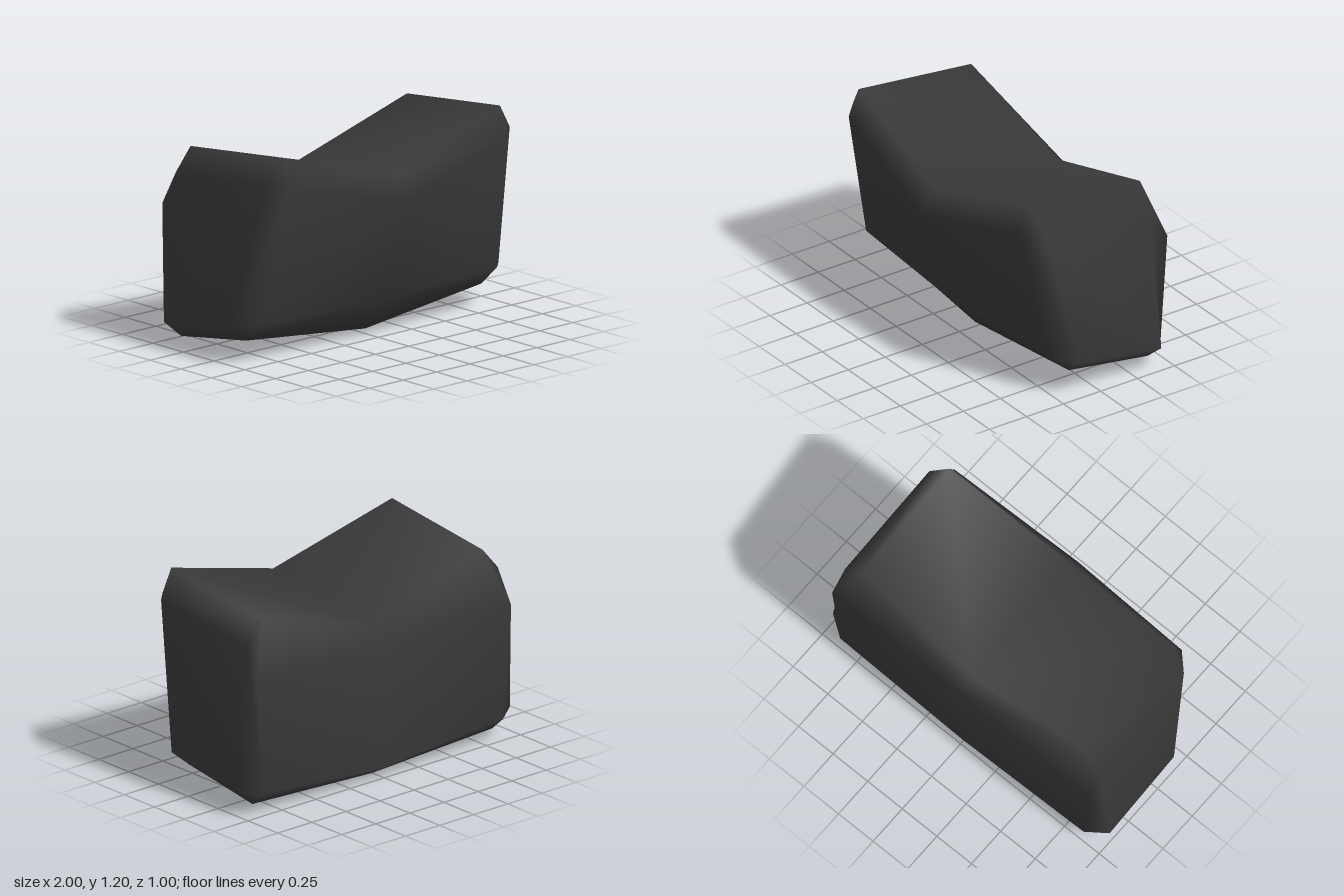
import * as THREE from 'three';

// Bevelled block with a V-shaped top, built from rings of points.
// Ring order: top front, front top, front bottom, bottom front,
// bottom back, back bottom, back top, top back.
const middleRing = [
  [0, 0.97, 0.43], [0, 0.825, 0.505], [0, 0.23, 0.315], [0, 0.03, 0.145],
  [0, 0, -0.40], [0, 0.055, -0.49], [0, 0.79, -0.50], [0, 0.885, -0.40],
];
const outerRing = [
  [0.81, 1.20, 0.36], [0.82, 1.04, 0.42], [0.88, 0.24, 0.26], [0.88, 0.12, 0.13],
  [0.88, 0.04, -0.40], [0.88, 0.12, -0.49], [0.93, 0.79, -0.50], [0.81, 1.115, -0.40],
];
// Corners of the end face
const endFace = [[0.92, 1.05, 0.32], [1.0, 0.22, 0.14], [1.0, 0.14, -0.41], [0.92, 0.985, -0.40]];

function blockGeometry() {
  const points = [...middleRing];
  const index = [];

  for (const side of [1, -1]) {
    const outer = points.length;
    const end = outer + 8;
    for (const [x, y, z] of [...outerRing, ...endFace]) points.push([side * x, y, z]);

    const tri = (a, b, c) => index.push(...(side > 0 ? [a, b, c] : [a, c, b]));
    const quad = (a, b, c, d, otherDiagonal = false) => {
      if (otherDiagonal) { tri(a, b, d); tri(b, c, d); }
      else { tri(a, b, c); tri(a, c, d); }
    };

    // Strip from the middle to the outer ring
    for (let i = 0; i < 8; i++) {
      const j = (i + 1) % 8;
      quad(i, j, outer + j, outer + i);
    }
    // Corner triangles and the bevels around the end face
    for (let k = 0; k < 4; k++) {
      const n = (k + 1) % 4;
      tri(outer + 2 * k, outer + 2 * k + 1, end + k);
      quad(outer + 2 * k + 1, outer + (2 * k + 2) % 8, end + n, end + k, k === 2 && side < 0);
    }
    quad(end, end + 1, end + 2, end + 3);
  }

  const geometry = new THREE.BufferGeometry();
  geometry.setAttribute('position', new THREE.Float32BufferAttribute(points.flat(), 3));
  geometry.setIndex(index);
  geometry.computeVertexNormals();
  return geometry;
}

export function createModel() {
  const group = new THREE.Group();
  group.name = 'notchedBlock';
  const charcoal = new THREE.MeshStandardMaterial({ color: 0x383838 });
  charcoal.name = 'charcoal';
  const body = new THREE.Mesh(blockGeometry(), charcoal);
  body.name = 'bevelledBody';
  group.add(body);
  return group;
}
